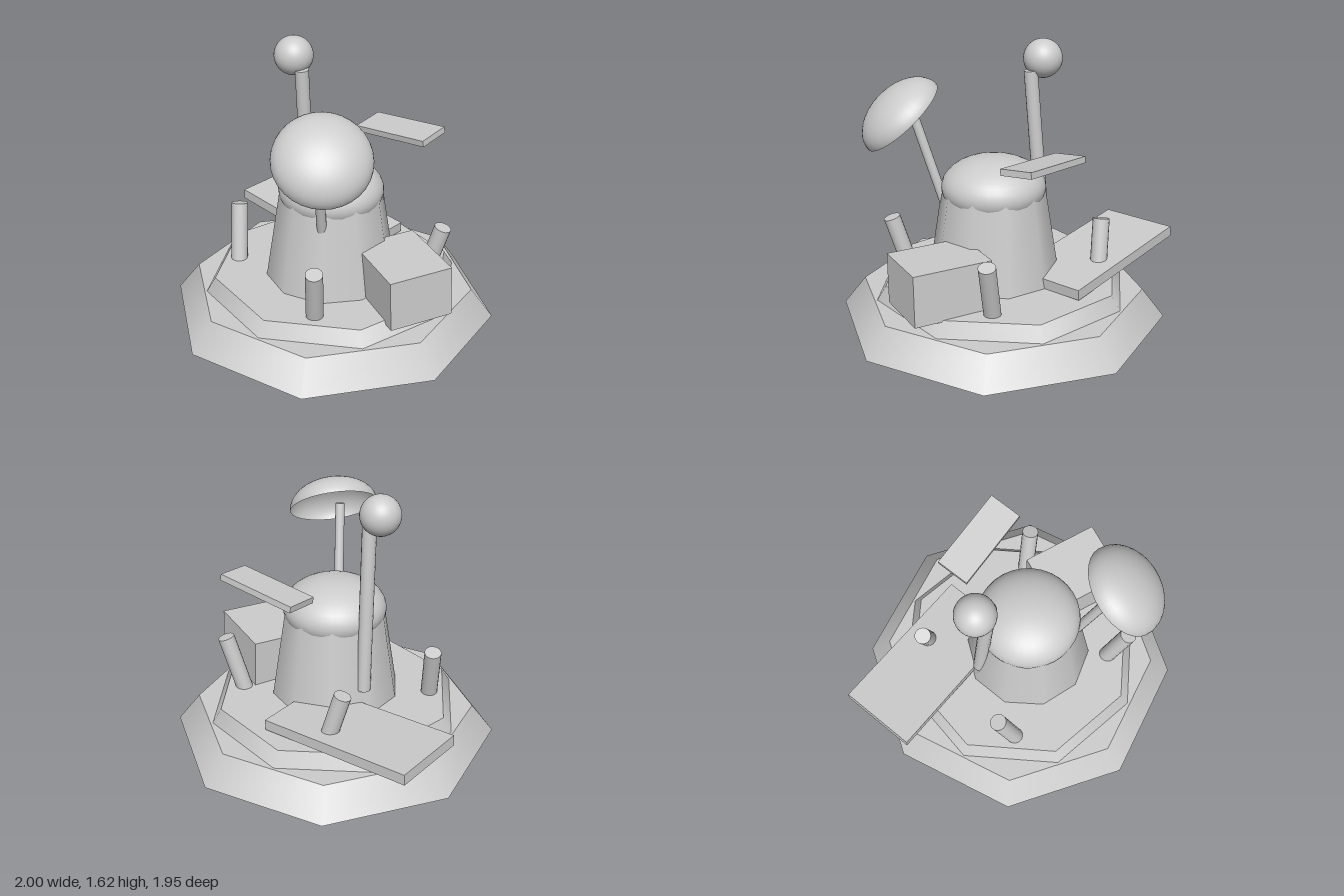
import * as THREE from 'three';

export function createModel() {
  const model = new THREE.Group();
  const grey = new THREE.MeshStandardMaterial({ color: 0xcccccc });
  grey.name = 'plain grey';
  const greyOpen = grey;
  greyOpen.side = THREE.DoubleSide; // the dish is an open shell

  const V = (x, y, z) => new THREE.Vector3(x, y, z);
  const add = (name, geometry) => {
    const mesh = new THREE.Mesh(geometry, grey);
    mesh.name = name;
    model.add(mesh);
    return mesh;
  };

  // upright tapered drum between two heights
  const drum = (name, x, z, y0, y1, r0, r1, sides, turn) => {
    const mesh = add(name, new THREE.CylinderGeometry(r1, r0, y1 - y0, sides));
    mesh.position.set(x, (y0 + y1) / 2, z);
    mesh.rotation.y = turn;
    return mesh;
  };

  // round rod between two points
  const rod = (name, from, to, r) => {
    const mesh = add(name, new THREE.CylinderGeometry(r, r, from.distanceTo(to), 16));
    mesh.position.copy(from).lerp(to, 0.5);
    mesh.quaternion.setFromUnitVectors(V(0, 1, 0), to.clone().sub(from).normalize());
    return mesh;
  };

  // tilted box: top back-left corner, edge to the right, edge to the front, thickness
  const slab = (name, corner, across, forward, thick) => {
    const mesh = add(name, new THREE.BoxGeometry(across.length(), thick, forward.length()));
    const u = across.clone().normalize();
    const n = forward.clone().cross(across).normalize();
    const w = u.clone().cross(n);
    mesh.quaternion.setFromRotationMatrix(new THREE.Matrix4().makeBasis(u, n, w));
    mesh.position.copy(corner)
      .addScaledVector(across, 0.5)
      .addScaledVector(forward, 0.5)
      .addScaledVector(n, -thick / 2);
    return mesh;
  };

  // stepped octagonal base
  drum('lowerBase', 0.025, -0.002, 0, 0.172, 0.973, 0.84, 8, 0);
  drum('upperBase', 0.023, -0.002, 0.165, 0.258, 0.767, 0.709, 8, Math.PI / 8);

  // tower and its flattened dome
  drum('tower', 0.06, 0.032, 0.25, 0.81, 0.388, 0.3, 10, THREE.MathUtils.degToRad(10));
  const dome = add('dome', new THREE.SphereGeometry(0.306, 32, 20));
  dome.scale.y = 0.59;
  dome.position.set(0.06, 0.8, 0.032);

  // mast with ball
  rod('mast', V(-0.27, 0.41, -0.035), V(-0.223, 1.443, 0.038), 0.041);
  add('mastBall', new THREE.SphereGeometry(0.115, 32, 20)).position.set(-0.312, 1.502, 0.034);

  // dish on its stem, the hollow side facing down
  rod('dishStem', V(0.26, 0.66, 0.234), V(0.395, 1.26, 0.365), 0.028);
  const dish = add('dish', new THREE.SphereGeometry(0.27, 32, 12, 0, Math.PI * 2, 0, Math.PI / 2));
  dish.scale.y = 0.63;
  dish.position.set(0.455, 1.22, 0.367);
  dish.quaternion.setFromUnitVectors(V(0, 1, 0), V(0.57, 0.755, 0.32).normalize());

  // leaning pegs, mirrored front to back
  for (const s of [1, -1]) {
    rod('leftSidePeg', V(0.412, 0.24, 0.392 * s), V(0.498, 0.585, 0.452 * s), 0.05);
    rod('rightSidePeg', V(-0.37, 0.24, 0.415 * s), V(-0.447, 0.585, 0.352 * s), 0.05);
  }

  // loose panels and crate
  slab('floatingPanel', V(-0.174, 1.072, -0.484), V(0.487, 0.049, -0.105), V(0.042, -0.025, 0.198), 0.037);
  slab('lowPanel', V(-0.997, 0.398, -0.414), V(0.952, -0.071, -0.176), V(0.08, -0.01, 0.464), 0.063);
  slab('crate', V(0.366, 0.546, -0.334), V(0.46, 0.005, 0.096), V(-0.075, -0.014, 0.368), 0.3);

  return model;
}
